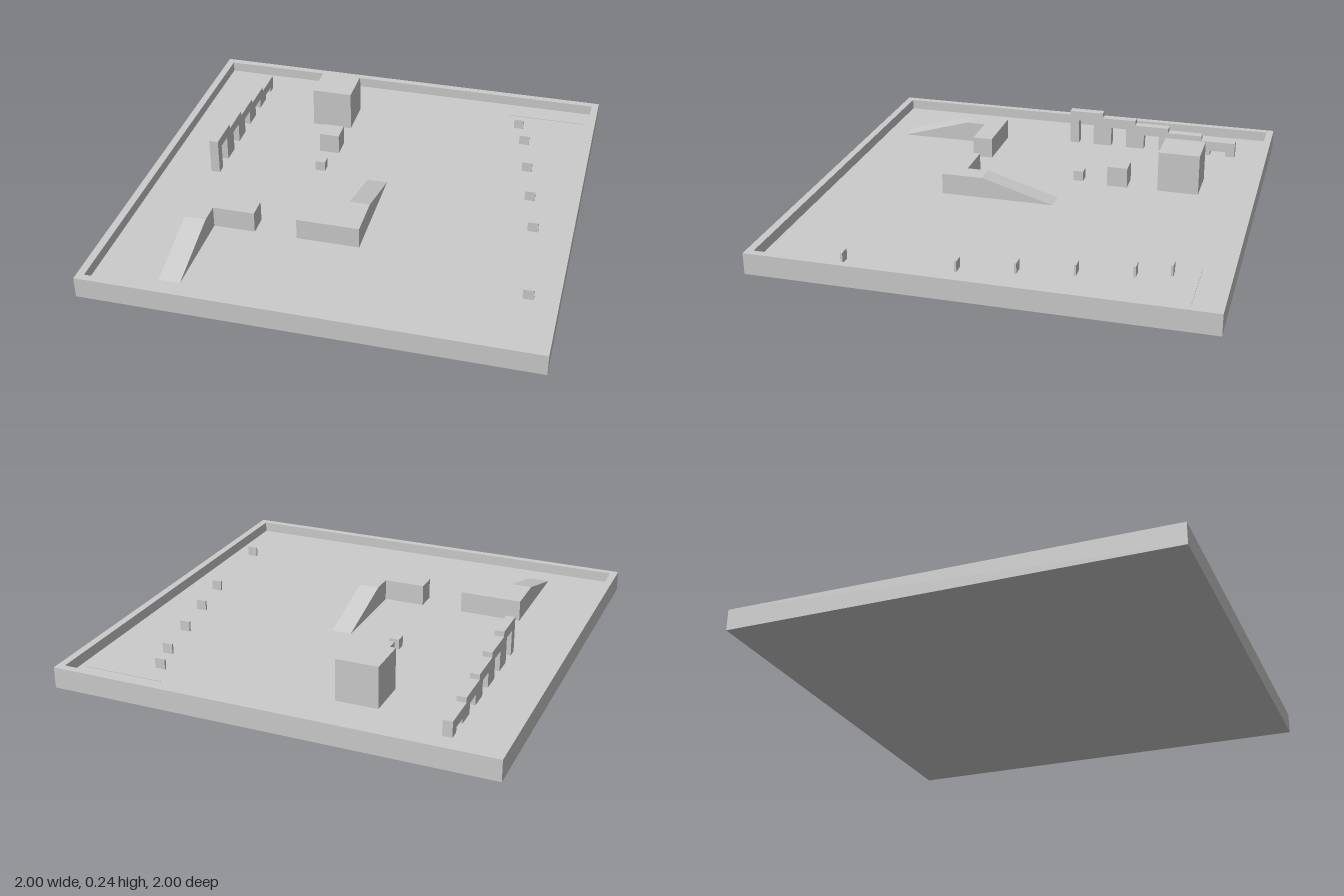
import * as THREE from 'three';

const FLOOR = 0.048, RIM = 0.097, RAMP_TOP = 0.147;

export function createModel() {
  const model = new THREE.Group();
  const material = new THREE.MeshStandardMaterial({ color: 0xcccccc, flatShading: true });

  const add = (name, geometry, parent = model) => {
    const mesh = new THREE.Mesh(geometry, material);
    mesh.name = name;
    parent.add(mesh);
    return mesh;
  };
  const group = (name) => {
    const g = new THREE.Group();
    g.name = name;
    model.add(g);
    return g;
  };
  // Box given by its extents
  const box = (name, x0, x1, y0, y1, z0, z1, parent) => {
    const g = new THREE.BoxGeometry(x1 - x0, y1 - y0, z1 - z0);
    g.translate((x0 + x1) / 2, (y0 + y1) / 2, (z0 + z1) / 2);
    return add(name, g, parent);
  };
  // Side profile of [z, y] points, extruded between x0 and x1
  const profile = (name, points, x0, x1, parent) => {
    const shape = new THREE.Shape(points.map(([z, y]) => new THREE.Vector2(z, y)));
    const g = new THREE.ExtrudeGeometry(shape, { depth: x1 - x0, bevelEnabled: false });
    g.rotateY(-Math.PI / 2);
    g.translate(x1, 0, 0);
    return add(name, g, parent);
  };
  const square = (Type, h) => new Type([[-h, -h], [h, -h], [h, h], [-h, h]].map(([x, y]) => new THREE.Vector2(x, y)));

  // Tray: floor slab inside a raised rim
  const inner = 0.966;
  box('floor', -inner, inner, 0, FLOOR, -inner, inner);
  const rim = square(THREE.Shape, 1);
  rim.holes.push(square(THREE.Path, inner));
  const rimGeometry = new THREE.ExtrudeGeometry(rim, { depth: RIM, bevelEnabled: false });
  rimGeometry.rotateX(-Math.PI / 2);
  add('rimWall', rimGeometry);

  // Three cubes of halving size
  const cubes = group('cubes');
  for (const [name, x, z, s] of [
    ['largeCube', -0.293, -0.631, 0.193],
    ['mediumCube', -0.242, -0.341, 0.096],
    ['smallCube', -0.241, -0.147, 0.048],
  ]) box(name, x - s / 2, x + s / 2, FLOOR, FLOOR + s, z - s / 2, z + s / 2, cubes);

  // Row of arches stepping down towards the back
  const arches = group('steppedArches');
  const length = 0.169, post = 0.046, beam = 0.048;
  for (let i = 0; i < 5; i++) {
    const front = 0.01 - i * length, back = front - length;
    const top = 0.217 - i * 0.0242, under = top - beam;
    profile('arch' + (i + 1), [
      [back, FLOOR], [back + post, FLOOR], [back + post, under], [front - post, under],
      [front - post, FLOOR], [front, FLOOR], [front, top], [back, top],
    ], -0.746, -0.703, arches);
  }

  // Two L-shaped platforms, each with a ramp down to the floor
  const rampA = group('centreRampPlatform');
  box('platformArm', -0.193, 0, FLOOR, RAMP_TOP, 0.337, 0.433, rampA);
  profile('ramp', [[-0.1, FLOOR], [0.433, FLOOR], [0.433, RAMP_TOP], [0.238, RAMP_TOP]], 0, 0.094, rampA);

  const rampB = group('frontRampPlatform');
  box('platformArm', -0.58, -0.388, FLOOR, RAMP_TOP, 0.337, 0.433, rampB);
  profile('ramp', [[0.337, FLOOR], [0.864, FLOOR], [0.528, RAMP_TOP], [0.337, RAMP_TOP]], -0.677, -0.58, rampB);

  // Diagonal line of small upright panels
  const panels = group('panels');
  [-0.746, -0.6, -0.361, -0.12, 0.123, 0.606].forEach((z, i) => {
    const x = 0.626 + i * 0.048;
    box('panel' + (i + 1), x - 0.024, x + 0.024, FLOOR, FLOOR + 0.048, z - 0.005, z + 0.005, panels);
  });

  // Thin strip lying on the floor behind the panels
  box('floorStrip', 0.56, 0.94, FLOOR, FLOOR + 0.003, -0.86, -0.857);

  return model;
}
